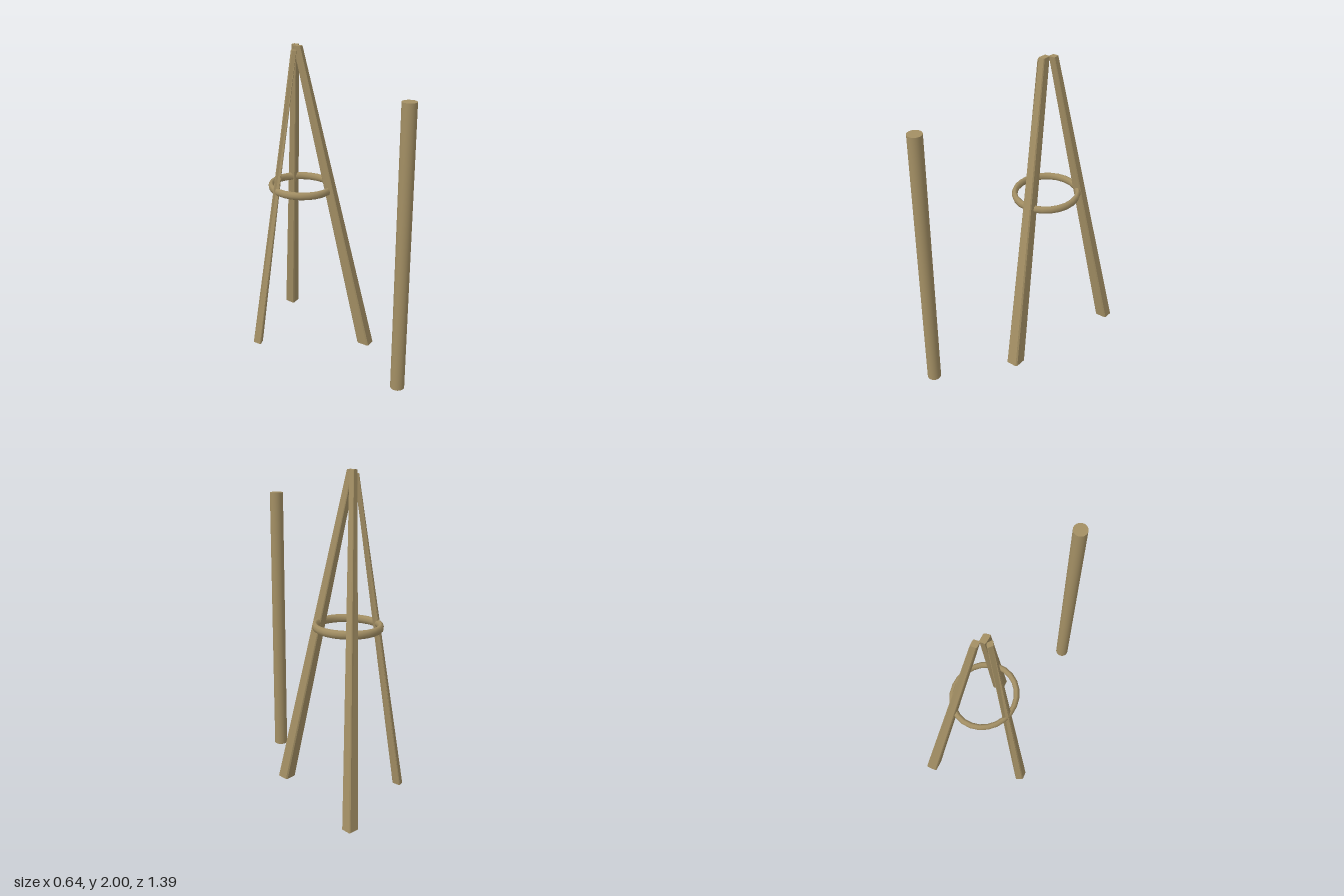
import * as THREE from 'three';

const wood = new THREE.MeshStandardMaterial({ color: 0xa38f64 });
const woodFlat = new THREE.MeshStandardMaterial({ color: 0xa38f64, flatShading: true });

// Cuts each corner of an [x, z] outline into a small chamfer.
function chamfer(corners, k = 0.1) {
  const n = corners.length;
  const mix = (a, b) => [a[0] + (b[0] - a[0]) * k, a[1] + (b[1] - a[1]) * k];
  return corners.flatMap((c, i) => [mix(c, corners[(i + n - 1) % n]), mix(c, corners[(i + 1) % n])]);
}

// Tapered beam between two outlines, counter-clockwise seen from above.
function beam(bottom, y0, top, y1) {
  const lo = chamfer(bottom), hi = chamfer(top), n = lo.length;
  const pos = [], idx = [];
  lo.forEach(([x, z]) => pos.push(x, y0, z));
  hi.forEach(([x, z]) => pos.push(x, y1, z));
  for (let i = 0; i < n; i++) {
    const j = (i + 1) % n;
    idx.push(i, j, n + j, i, n + j, n + i);
    if (i > 0 && i < n - 1) idx.push(n, n + i, n + j, 0, j, i);
  }
  const g = new THREE.BufferGeometry();
  g.setAttribute('position', new THREE.Float32BufferAttribute(pos, 3));
  g.setIndex(idx);
  g.computeVertexNormals();
  return g;
}

export function createModel() {
  const model = new THREE.Group();
  model.name = 'tripodAndPole';
  const add = (name, geometry, material) => {
    const mesh = new THREE.Mesh(geometry, material);
    mesh.name = name;
    model.add(mesh);
    return mesh;
  };

  // Three leaning legs that taper towards the apex
  add('frontLeg', beam(
    [[0.212, 0.11], [0.232, 0.195], [0.308, 0.171], [0.29, 0.086]], 0,
    [[-0.007, -0.268], [0, -0.21], [0.036, -0.225], [0.028, -0.276]], 2), woodFlat);
  add('backLeg', beam(
    [[0.232, -0.684], [0.245, -0.605], [0.319, -0.631], [0.307, -0.699]], 0,
    [[0.015, -0.311], [0.02, -0.269], [0.058, -0.283], [0.051, -0.321]], 2), woodFlat);
  add('rightLeg', beam(
    [[-0.322, -0.357], [-0.307, -0.298], [-0.261, -0.329], [-0.277, -0.387]], 0.01,
    [[-0.039, -0.242], [-0.017, -0.219], [0.001, -0.253], [-0.02, -0.272]], 1.975), woodFlat);

  // Hoop bracing the legs, slightly oval and taller than it is thick
  const hoop = new THREE.TorusGeometry(0.2, 0.018, 8, 24);
  hoop.rotateX(Math.PI / 2);
  hoop.scale(0.965, 1.45, 1.032);
  add('hoop', hoop, wood).position.set(0.047, 1.085, -0.265);

  // Free-standing pole
  add('pole', new THREE.CylinderGeometry(0.044, 0.044, 1.81, 32), wood)
    .position.set(0.036, 0.905, 0.647);

  return model;
}
